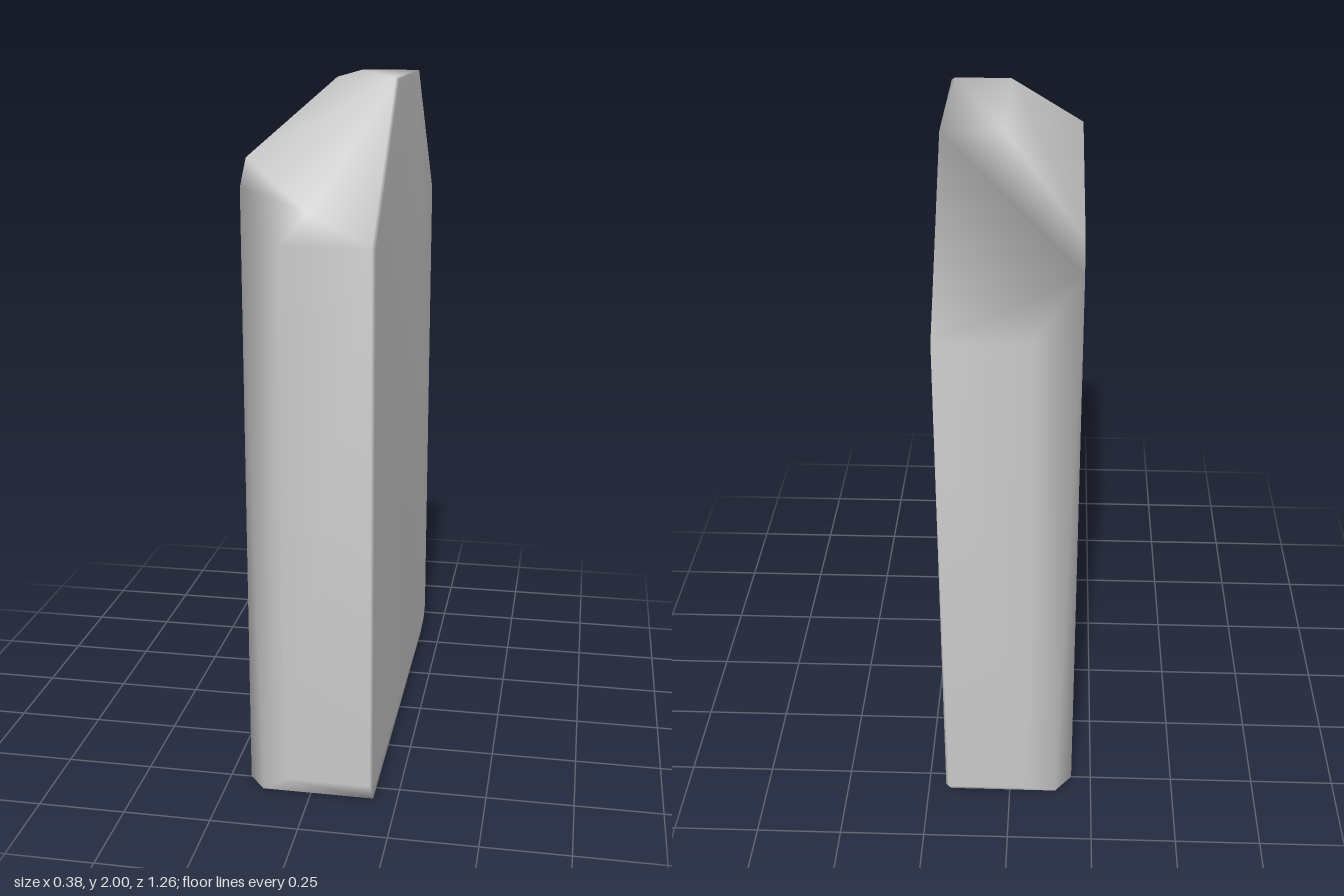
import * as THREE from 'three';
import { ConvexGeometry } from 'three/addons/geometries/ConvexGeometry.js';
import { mergeVertices } from 'three/addons/utils/BufferGeometryUtils.js';

export function createModel() {
  const group = new THREE.Group();
  group.name = 'bevelledSlab';
  const points = [];
  const add = (x, y, z) => points.push(new THREE.Vector3(x, y, z));
  const addPair = (x, y, z) => { add(x, y, z); add(x, y, -z); };

  // broad flat left face, with a fine bevel around its rim
  add(0.19, 1.995, 0.218);
  add(0.19, 1.598, 0.625);
  add(0.19, 2, -0.22);
  add(0.19, 1.6, -0.63);
  addPair(0.19, 0.085, 0.625);
  addPair(0.19, 0.05, 0.59);
  add(0.18, 2, 0.22);
  add(0.18, 1.6, 0.63);
  addPair(0.182, 0.08, 0.63);
  addPair(0.182, 0, 0.56);

  // wide bevel: top ridge, upright corners and foot
  add(0.02, 2, 0.22);
  add(0.02, 2, -0.217);
  add(-0.06, 1.6, 0.63);
  add(-0.06, 1.595, -0.63);
  addPair(-0.06, 0.08, 0.63);
  addPair(-0.14, 0, 0.56);

  // bevel corner on the front slope
  add(0, 1.675, 0.558);

  // inset right face
  add(-0.19, 1.8, 0.43);
  add(-0.19, 1.8, -0.425);
  addPair(-0.19, 1.73, 0.5);
  addPair(-0.19, 0, 0.5);

  // shared, area-weighted normals give the soft shading
  const hull = new ConvexGeometry(points);
  hull.deleteAttribute('normal');
  const geometry = mergeVertices(hull, 1e-4);
  geometry.computeVertexNormals();

  const slab = new THREE.Mesh(geometry, new THREE.MeshStandardMaterial({ color: 0xcccccc }));
  slab.name = 'slab';
  group.add(slab);
  return group;
}
